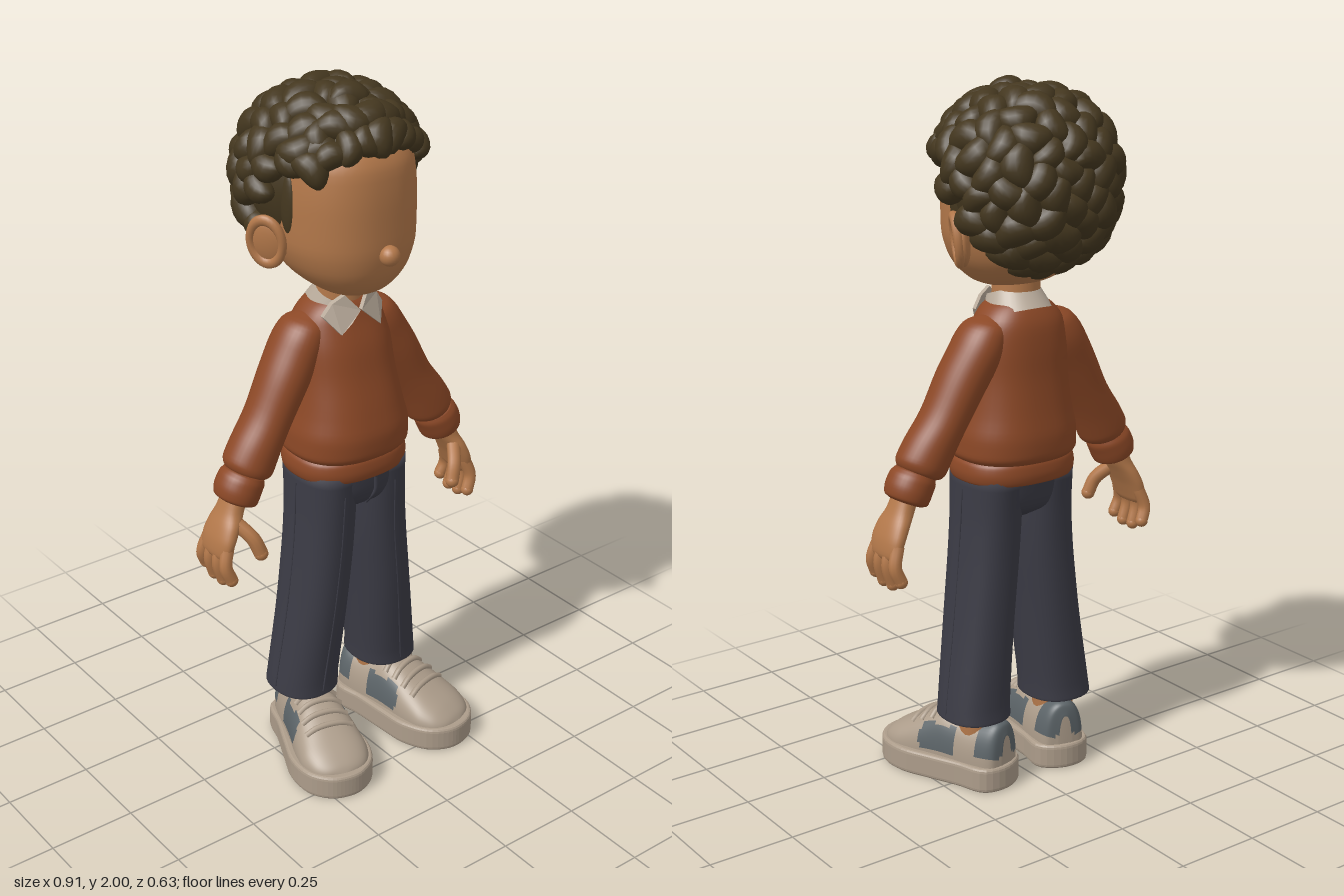
import * as THREE from 'three';

const mat = (name, color, side = THREE.FrontSide) => Object.assign(new THREE.MeshStandardMaterial({ color, side }), { name });
const V = (x, y, z) => new THREE.Vector3(x, y, z);

// Monotone cubic interpolation of table rows, k steps per row
function smoothRows(rows, k = 4) {
  const slope = (p, q) => (p * q <= 0 ? 0 : (2 * p * q) / (p + q));
  const out = [];
  for (let i = 0; i < rows.length - 1; i++) {
    for (let s = 0; s < k; s++) {
      const t = s / k;
      out.push(rows[i].map((b, c) => {
        const e = rows[i + 1][c], d = e - b;
        const m0 = i > 0 ? slope(b - rows[i - 1][c], d) : d;
        const m1 = i + 2 < rows.length ? slope(d, rows[i + 2][c] - e) : d;
        return b + t * (m0 + t * (3 * d - 2 * m0 - m1 + t * (m0 + m1 - 2 * d)));
      }));
    }
  }
  out.push(rows[rows.length - 1]);
  return out;
}

// Skin a list of closed rings; pick() may choose a material index per face
function loft(rings, pick = () => 0) {
  const n = rings[0].length, pos = [], faces = [[], []];
  rings.forEach(r => r.forEach(p => pos.push(p.x, p.y, p.z)));
  for (let j = 0; j < rings.length - 1; j++) {
    for (let i = 0; i < n; i++) {
      const k = (i + 1) % n, a = j * n + i, b = a + n, c = j * n + k, d = c + n;
      const mid = rings[j][i].clone().add(rings[j + 1][k]).multiplyScalar(0.5);
      faces[pick(mid)].push(a, b, c, c, b, d);
    }
  }
  [0, rings.length - 1].forEach((j, end) => {
    const m = rings[j].reduce((s, p) => s.add(p), V(0, 0, 0)).divideScalar(n);
    const ci = pos.push(m.x, m.y, m.z) / 3 - 1;
    for (let i = 0; i < n; i++) {
      const a = j * n + i, b = j * n + (i + 1) % n;
      faces[pick(m)].push(ci, ...(end ? [b, a] : [a, b]));
    }
  });
  const g = new THREE.BufferGeometry();
  g.setAttribute('position', new THREE.Float32BufferAttribute(pos, 3));
  g.setIndex([...faces[0], ...faces[1]]);
  g.addGroup(0, faces[0].length, 0);
  g.addGroup(faces[0].length, faces[1].length, 1);
  g.computeVertexNormals();
  return g;
}

// Rounded body from rows, rising in y: [y, centre x, centre z, radius x, radius z, tilt]
function body(rows, e = 2, n = 36) {
  const pw = v => Math.sign(v) * Math.abs(v) ** (2 / e);
  return loft(smoothRows(rows).map(([y, cx, cz, rx, rz, tilt = 0]) =>
    Array.from({ length: n }, (_, i) => {
      const a = (i / n) * Math.PI * 2, x = rx * pw(Math.cos(a));
      return V(cx + x, y + x * tilt, cz + rz * pw(Math.sin(a)));
    })));
}

export function createModel() {
  const root = new THREE.Group();
  root.name = 'boy';
  const skin = mat('skin', 0xb3784a), hair = mat('hair', 0x44371f), wool = mat('sweater', 0x8c4826);
  const denim = mat('trousers', 0x3b3b45), cloth = mat('collar', 0xb9ab9b, THREE.DoubleSide);
  const leather = mat('shoe', 0xac9c8a), patch = mat('shoePatch', 0x5c6468);
  const add = (parent, name, geo, m, p = [0, 0, 0], s = [1, 1, 1]) => {
    const o = new THREE.Mesh(geo, m);
    o.name = name;
    o.position.set(...p);
    o.scale.set(...s);
    parent.add(o);
    return o;
  };
  const ball = new THREE.SphereGeometry(1, 20, 14);
  const tube = (pts, r) => new THREE.TubeGeometry(new THREE.CatmullRomCurve3(pts), 12, r, 10);

  // Head and neck
  add(root, 'head', body([
    [1.433, 0, 0.05, 0.02, 0.03], [1.445, 0, 0.04, 0.075, 0.085], [1.475, 0, 0.02, 0.122, 0.142],
    [1.53, 0, 0.005, 0.165, 0.185], [1.6, 0, 0, 0.184, 0.2], [1.7, 0, 0, 0.186, 0.2], [1.8, 0, 0, 0.177, 0.193],
    [1.87, 0, -0.01, 0.145, 0.16], [1.91, 0, -0.01, 0.08, 0.1], [1.93, 0, -0.01, 0.01, 0.01]], 2.3, 48), skin);
  add(root, 'nose', ball, skin, [0, 1.577, 0.208], [0.028, 0.028, 0.028]);
  add(root, 'neck', new THREE.CylinderGeometry(0.065, 0.07, 0.17, 28), skin, [0, 1.42, -0.01]);

  // Hair: scalp, crown and bean-shaped curls
  add(root, 'scalp', ball, hair, [0, 1.73, -0.08], [0.215, 0.235, 0.2]);
  add(root, 'crown', body([[1.865, 0, -0.01, 0.155, 0.168], [1.89, 0, -0.01, 0.14, 0.15],
    [1.93, 0, -0.01, 0.09, 0.1], [1.95, 0, -0.01, 0.01, 0.01]], 2.3), hair);
  const bean = new THREE.SphereGeometry(1, 16, 10), bp = bean.attributes.position;
  for (let i = 0; i < bp.count; i++) bp.setY(i, bp.getY(i) + 0.4 * bp.getX(i) ** 2 - 0.15);
  bean.computeVertexNormals();
  let seed = 7;
  const rnd = () => (seed = (seed * 16807) % 2147483647) / 2147483647;
  const curls = new THREE.Group();
  curls.name = 'curls';
  root.add(curls);
  const hc = V(0, 1.73, -0.055);
  const curl = (p, size = 1) => {
    const f = size * (0.9 + 0.25 * rnd());
    const c = add(curls, 'curl', bean, hair, p.toArray(), [0.058 * f, 0.042 * f, 0.041 * f]);
    c.quaternion.setFromUnitVectors(V(0, 0, 1), p.clone().sub(hc).normalize());
    c.rotateZ(rnd() * Math.PI * 2);
  };
  const N = 150;
  for (let i = 0; i < N; i++) {
    const y = 1 - (2 * (i + 0.5)) / N, r = Math.sqrt(1 - y * y), a = i * 2.39996;
    const d = V(r * Math.cos(a), y, r * Math.sin(a)), e = 2.2;
    const k = (Math.abs(d.x) ** e + Math.abs(d.y) ** e + Math.abs(d.z) ** e) ** (-1 / e);
    const p = V(d.x * 0.222 * k, d.y * 0.222 * k, d.z * 0.213 * k).add(hc);
    const low = p.z > 0.08 ? 1.875 - 2 * p.x * p.x : p.z > 0.0 ? 1.79 : p.z > -0.1 ? 1.71 : 1.45;
    if (p.y > low) curl(p);
  }
  for (let i = -4; i <= 4; i++) {
    const x = i * 0.043;
    curl(V(x, 1.885 - 2.3 * x * x, 0.16 - 2 * x * x), 0.88);
    curl(V(x, 1.925 - 2.4 * x * x, 0.11 - 2 * x * x), 0.95);
  }
  curl(V(0, 1.958, 0.03));

  // Sweater torso and hem
  add(root, 'sweater', body([
    [0.955, 0, 0.01, 0.15, 0.13], [0.965, 0, 0.01, 0.168, 0.148], [0.985, 0, 0.01, 0.178, 0.16],
    [1.03, 0, 0.01, 0.177, 0.162], [1.1, 0, 0.007, 0.162, 0.15], [1.2, 0, -0.002, 0.147, 0.13],
    [1.28, 0, -0.01, 0.142, 0.118], [1.35, 0, -0.018, 0.126, 0.1], [1.39, 0, -0.015, 0.095, 0.083],
    [1.41, 0, -0.015, 0.065, 0.065]], 2.4, 44), wool);
  add(root, 'sweaterHem', body([[0.898, 0, 0.01, 0.15, 0.125], [0.905, 0, 0.01, 0.17, 0.144],
    [0.93, 0, 0.01, 0.176, 0.15], [0.955, 0, 0.01, 0.172, 0.147], [0.97, 0, 0.01, 0.16, 0.14]], 2.4, 44), wool);

  // Shirt collar, open at the front
  const band = add(root, 'collarBand', new THREE.CylinderGeometry(0.073, 0.1, 0.065, 36, 1, true, 0.35, Math.PI * 2 - 0.7), cloth, [0, 1.393, -0.005]);
  band.rotation.x = 0.3;

  // Hips and fly
  add(root, 'hips', body([[0.785, 0, 0.015, 0.06, 0.06], [0.82, 0, 0.015, 0.15, 0.11], [0.86, 0, 0.015, 0.166, 0.124],
    [0.93, 0, 0.012, 0.166, 0.132]], 2.4), denim);
  add(root, 'fly', tube([V(0.012, 0.9, 0.145), V(0.014, 0.85, 0.138), V(0, 0.81, 0.115)], 0.006), denim);

  // Shoe upper outline: [z, half width, height], toe to heel
  const upper = smoothRows([[0.312, 0.012, 0.01], [0.3, 0.055, 0.028], [0.27, 0.088, 0.052], [0.22, 0.104, 0.08],
    [0.17, 0.101, 0.108], [0.12, 0.093, 0.135], [0.07, 0.086, 0.15], [0.03, 0.081, 0.143], [-0.03, 0.076, 0.135],
    [-0.085, 0.066, 0.14], [-0.105, 0.052, 0.132], [-0.114, 0.02, 0.1]], 6);
  const section = ([z, w, h], a) => {
    const c = Math.cos(a), s = Math.sin(a);
    return V(w * Math.sign(c) * Math.abs(c) ** 0.85, 0.06 + h * (s > 0 ? s ** 0.8 : 0.1 * s), z);
  };
  const upperGeo = loft(upper.map(r => Array.from({ length: 56 }, (_, i) => section(r, (i / 56) * Math.PI * 2))), p => {
    const side = p.z > 0.02 && p.z < 0.15 - Math.abs(p.y - 0.12) * 0.5 && p.y > 0.085 && p.y < 0.165 && Math.abs(p.x) > 0.04;
    return side || (p.z < -0.05 && p.y > 0.1) ? 1 : 0;
  });
  const half = [[0.07, -0.09], [0.082, 0], [0.1, 0.1], [0.112, 0.19], [0.092, 0.27], [0.045, 0.313]];
  const outline = [[0, -0.118], ...half, [0, 0.322], ...half.slice().reverse().map(([x, z]) => [-x, z])];
  const soleShape = new THREE.Shape(new THREE.CatmullRomCurve3(outline.map(([x, z]) => V(x, -z, 0)), true)
    .getPoints(60).slice(0, -1).map(p => new THREE.Vector2(p.x, p.y)));
  const soleGeo = new THREE.ExtrudeGeometry(soleShape, { depth: 0.05, bevelThickness: 0.012, bevelSize: 0.008, bevelSegments: 3 });
  soleGeo.rotateX(-Math.PI / 2);

  for (const s of [1, -1]) {
    const half = new THREE.Group();
    half.name = s > 0 ? 'leftSide' : 'rightSide';
    half.scale.x = s;
    root.add(half);

    // Ear with rim, and sideburn
    const ear = new THREE.Group();
    ear.name = 'ear';
    ear.position.set(0.205, 1.588, -0.045);
    ear.rotation.set(0, -0.5, -0.12);
    half.add(ear);
    add(ear, 'earBowl', ball, skin, [0, 0, 0], [0.022, 0.07, 0.055]);
    add(ear, 'earRim', new THREE.TorusGeometry(0.052, 0.013, 10, 32).rotateY(Math.PI / 2), skin, [0.012, 0.004, 0], [1, 1.2, 0.9]);
    add(half, 'sideburn', ball, hair, [0.178, 1.7, 0.01], [0.016, 0.085, 0.03]);

    // Collar wing
    const wing = new THREE.ExtrudeGeometry(new THREE.Shape([[0.002, 1.385], [0.035, 1.355], [0.066, 1.328], [0.1, 1.375],
      [0.075, 1.41], [0.04, 1.43]].map(p => new THREE.Vector2(...p))), { depth: 0.014, bevelEnabled: false });
    const wp = wing.attributes.position;
    for (let i = 0; i < wp.count; i++) {
      const x = wp.getX(i), y = wp.getY(i);
      wp.setZ(i, wp.getZ(i) + 0.094 - 0.32 * (y - 1.33) - 4 * x * x);
    }
    wing.computeVertexNormals();
    add(half, 'collarWing', wing, cloth);

    // Sleeve and cuff
    add(half, 'sleeve', body([
      [0.955, 0.328, -0.003, 0.04, 0.05, 0.45], [0.965, 0.322, -0.003, 0.058, 0.068, 0.45], [0.985, 0.313, -0.004, 0.066, 0.074, 0.45],
      [1.03, 0.288, -0.006, 0.062, 0.075, 0.5], [1.1, 0.244, -0.01, 0.057, 0.075, 0.5], [1.2, 0.188, -0.014, 0.061, 0.08, 0.5],
      [1.28, 0.14, -0.02, 0.063, 0.082, 0.45], [1.335, 0.11, -0.02, 0.055, 0.072, 0.35], [1.37, 0.085, -0.02, 0.02, 0.03, 0.2]]), wool);
    add(half, 'cuff', body([[0.885, 0.365, 0, 0.042, 0.05, 0.42], [0.893, 0.363, 0, 0.055, 0.065, 0.42],
      [0.92, 0.354, 0, 0.059, 0.07, 0.44], [0.945, 0.341, 0, 0.058, 0.069, 0.45], [0.965, 0.33, 0, 0.048, 0.06, 0.45]]), wool);

    // Hand
    const hand = new THREE.Group();
    hand.name = 'hand';
    half.add(hand);
    add(hand, 'palm', body([[0.735, 0.43, 0, 0.012, 0.045], [0.75, 0.43, 0, 0.021, 0.062], [0.79, 0.42, 0.002, 0.028, 0.066],
      [0.83, 0.402, 0.002, 0.031, 0.06], [0.87, 0.38, 0, 0.032, 0.046], [0.92, 0.36, 0, 0.03, 0.04]], 2.3), skin);
    const digit = (name, pts, r) => {
      add(hand, name, tube(pts, r), skin);
      add(hand, name + 'Tip', ball, skin, pts[pts.length - 1].toArray(), [r, r, r]);
    };
    [-0.052, -0.018, 0.018, 0.052].forEach((z, i) => {
      const tip = [0.685, 0.668, 0.668, 0.682][i];
      digit('finger', [V(0.422, 0.78, z * 0.9), V(0.438, 0.725, z * 1.1), V(0.424, tip, z * 1.2)], 0.0185);
    });
    digit('thumb', [V(0.388, 0.84, 0.035), V(0.358, 0.795, 0.076), V(0.342, 0.75, 0.088)], 0.02);

    // Trouser leg with front and side seams
    add(half, 'trouserLeg', body([
      [0.2, 0.145, -0.002, 0.085, 0.095], [0.207, 0.145, -0.002, 0.098, 0.107], [0.25, 0.142, 0, 0.096, 0.105],
      [0.5, 0.114, 0.012, 0.088, 0.112], [0.7, 0.094, 0.015, 0.086, 0.115], [0.8, 0.088, 0.015, 0.084, 0.119],
      [0.92, 0.085, 0.012, 0.083, 0.128]], 2.3), denim);
    add(half, 'frontSeam', tube([V(0.145, 0.22, 0.104), V(0.114, 0.5, 0.123), V(0.094, 0.7, 0.129), V(0.088, 0.86, 0.136)], 0.003), denim);
    add(half, 'sideSeam', tube([V(0.242, 0.22, 0), V(0.202, 0.5, 0.012), V(0.18, 0.7, 0.015), V(0.169, 0.88, 0.013)], 0.003), denim);
    add(half, 'ankle', new THREE.CylinderGeometry(0.06, 0.06, 0.14, 24), skin, [0.135, 0.18, -0.01]);

    // Shoe, toes turned out
    const shoe = new THREE.Group();
    shoe.name = 'shoe';
    shoe.position.x = 0.135;
    shoe.rotation.y = 0.25;
    half.add(shoe);
    add(shoe, 'sole', soleGeo, leather, [0, 0.012, 0]);
    add(shoe, 'shoeUpper', upperGeo, [leather, patch]);
    [[0.185, 0.101, 0.1], [0.15, 0.098, 0.12], [0.115, 0.092, 0.138], [0.08, 0.087, 0.15]].forEach(row =>
      add(shoe, 'lace', tube([0.85, 1.2, 1.57, 1.94, 2.29].map(a => section(row, a)), 0.009), leather));
    add(shoe, 'tongue', ball, leather, [0, 0.195, 0.06], [0.05, 0.018, 0.035]).rotation.x = -0.3;
  }
  return root;
}
